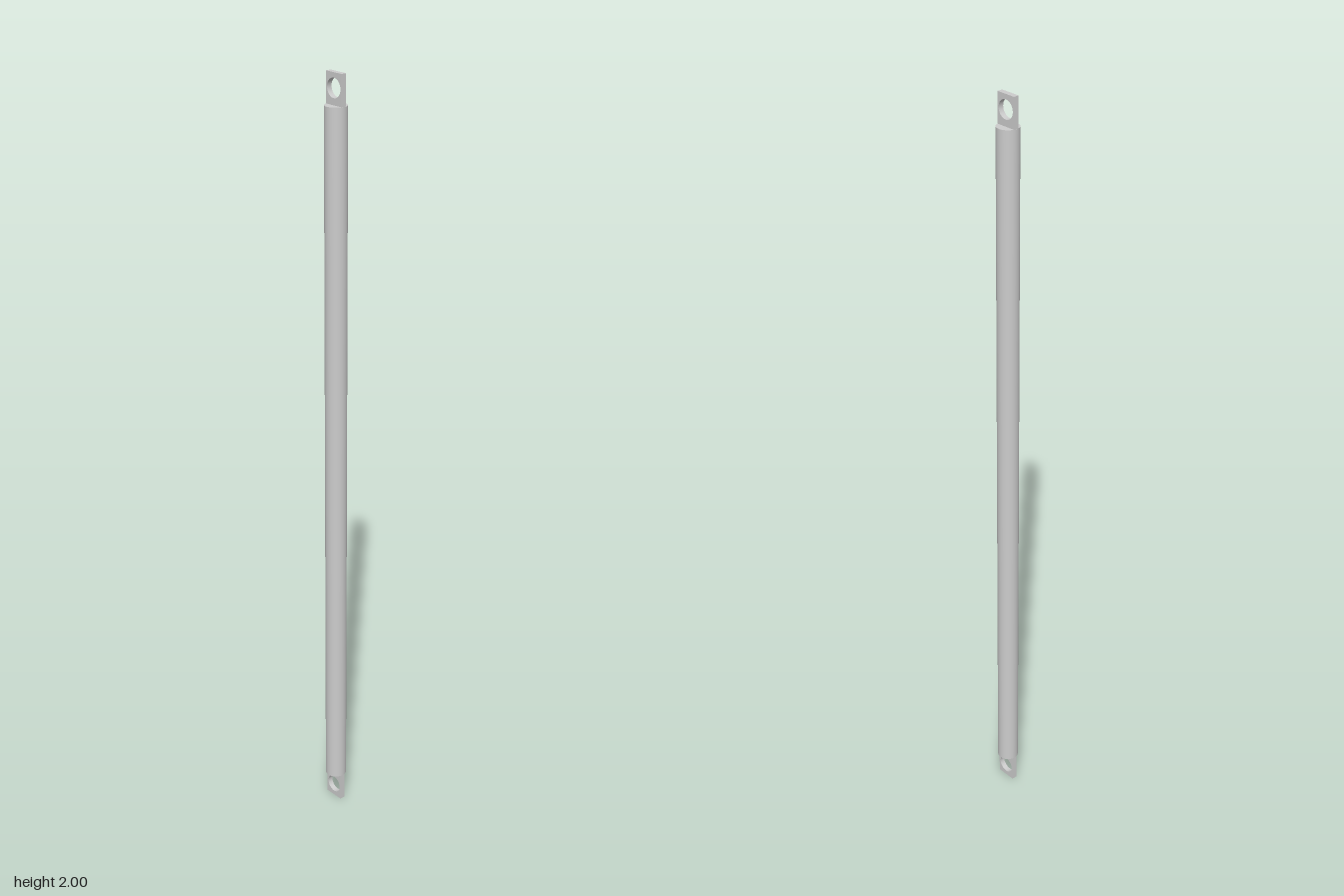
import * as THREE from 'three';

const RADIUS = 0.028;      // rod radius
const LUG = 0.076;         // height of each end lug
const THICK = 0.014;       // lug thickness along x
const HALF = 0.0272;       // lug half width along z
const HOLE = 0.0235;       // pin hole radius
const HOLE_INSET = 0.036;  // hole centre from the outer end

const material = new THREE.MeshStandardMaterial({ color: 0xcccccc });

// Flat lug with a round pin hole, standing on y = 0 with its outer end up
function lugGeometry() {
  const shape = new THREE.Shape();
  shape.moveTo(-HALF, 0);
  shape.lineTo(HALF, 0);
  shape.lineTo(HALF, LUG);
  shape.lineTo(-HALF, LUG);
  shape.closePath();
  const hole = new THREE.Path();
  hole.absarc(0, LUG - HOLE_INSET, HOLE, 0, Math.PI * 2, true);
  shape.holes.push(hole);
  const geometry = new THREE.ExtrudeGeometry(shape, { depth: THICK, bevelEnabled: false, curveSegments: 32 });
  geometry.translate(0, 0, -THICK / 2);
  geometry.rotateY(Math.PI / 2);
  return geometry;
}

export function createModel() {
  const model = new THREE.Group();
  model.name = 'linkRod';

  // Long round rod
  const rod = new THREE.Mesh(new THREE.CylinderGeometry(RADIUS, RADIUS, 2 - 2 * LUG, 48), material);
  rod.name = 'rod';
  rod.position.y = 1;
  model.add(rod);

  // Pierced lug at each end, the lower one turned over
  const geometry = lugGeometry();
  for (const end of ['top', 'bottom']) {
    const lug = new THREE.Mesh(geometry, material);
    lug.name = `${end}Lug`;
    lug.position.y = end === 'top' ? 2 - LUG : LUG;
    if (end === 'bottom') lug.rotation.x = Math.PI;
    model.add(lug);
  }
  return model;
}
